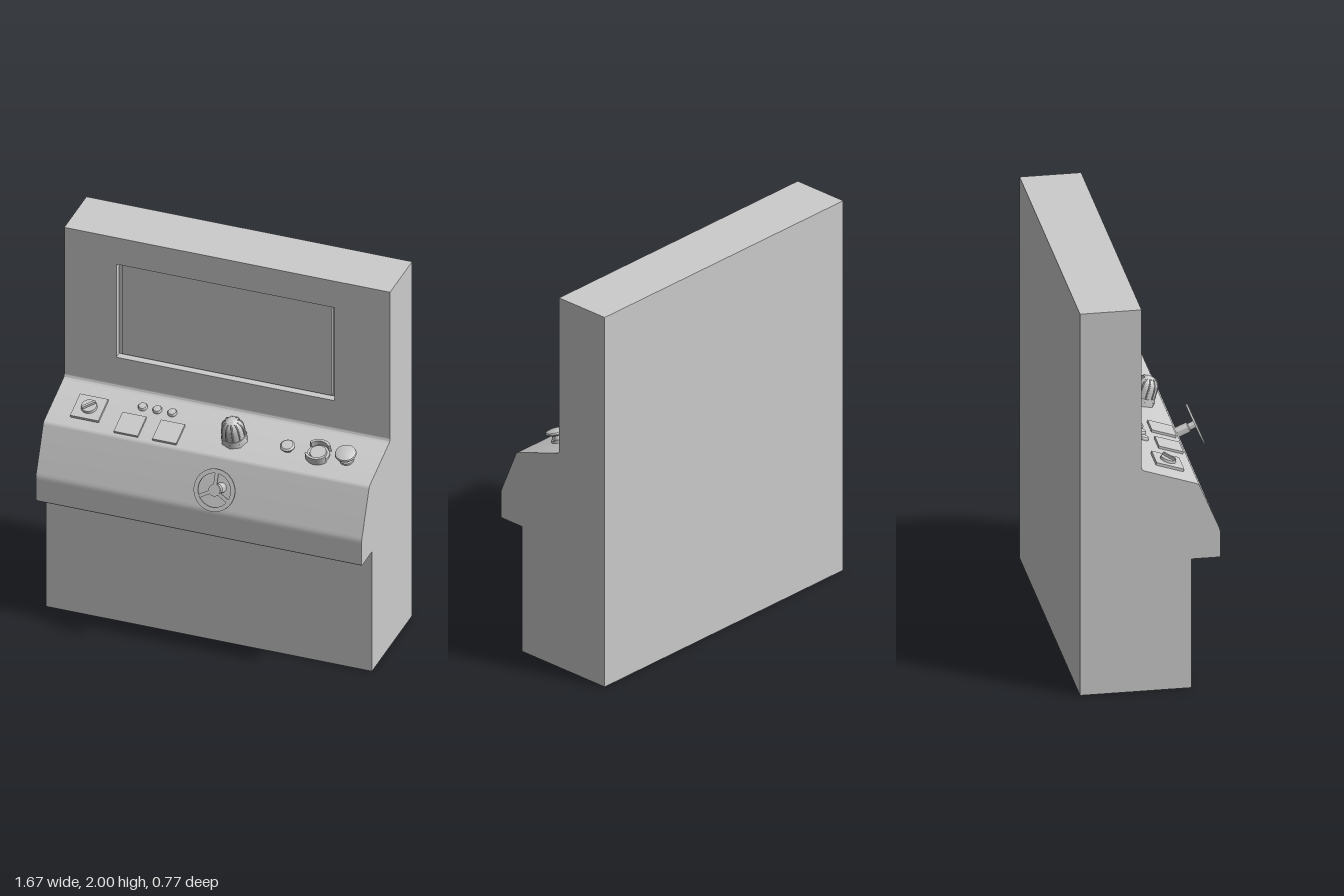
import * as THREE from 'three';
import { toCreasedNormals } from 'three/addons/utils/BufferGeometryUtils.js';

const grey = new THREE.MeshStandardMaterial({ color: 0xcccccc });

function add(parent, name, geometry, x = 0, y = 0, z = 0) {
  const mesh = new THREE.Mesh(geometry, grey);
  mesh.name = name;
  mesh.position.set(x, y, z);
  parent.add(mesh);
  return mesh;
}

function group(parent, name, x = 0, y = 0, z = 0) {
  const g = new THREE.Group();
  g.name = name;
  g.position.set(x, y, z);
  parent.add(g);
  return g;
}

function rectangle(Type, x0, y0, x1, y1) {
  const p = new Type();
  p.moveTo(x0, y0);
  p.lineTo(x1, y0);
  p.lineTo(x1, y1);
  p.lineTo(x0, y1);
  p.closePath();
  return p;
}

const extrude = (shape, depth) =>
  new THREE.ExtrudeGeometry(shape, { depth, bevelEnabled: false, curveSegments: 24 });

// Turned part from [radius, height] pairs, with crisp edges
const lathe = (points, sides = 32) => toCreasedNormals(
  new THREE.LatheGeometry(points.map(([r, y]) => new THREE.Vector2(r, y)), sides), 0.6);

const HALF = 0.8375, BACK = -0.385, FACE = -0.085, FLOOR = -0.125;

function buildCabinet(root) {
  // Side profile (z, y) drawn once and pulled across the width
  const s = new THREE.Shape();
  s.moveTo(BACK, 0);
  s.lineTo(0.16, 0);
  s.lineTo(0.16, 0.675);
  s.lineTo(0.295, 0.675);
  s.lineTo(0.3, 0.68);
  s.lineTo(0.3, 0.8);
  s.quadraticCurveTo(0.3, 0.817, 0.294, 0.831);
  s.lineTo(0.201, 1.052);
  s.quadraticCurveTo(0.196, 1.064, 0.183, 1.069);
  s.lineTo(-0.068, 1.153);
  s.quadraticCurveTo(FACE, 1.159, FACE, 1.175);
  s.lineTo(FLOOR, 1.175);
  s.lineTo(FLOOR, 2);
  s.lineTo(BACK, 2);
  s.closePath();
  const g = extrude(s, HALF * 2);
  g.rotateY(-Math.PI / 2);
  g.translate(HALF, 0, 0);
  add(root, 'cabinet', toCreasedNormals(g, 0.5));

  // Upper front with the window for the screen
  const front = rectangle(THREE.Shape, -HALF, 1.175, HALF, 2);
  front.holes.push(rectangle(THREE.Path, -0.57, 1.325, 0.552, 1.85));
  add(root, 'screenSurround', extrude(front, FACE - FLOOR), 0, 0, FLOOR);
  add(root, 'screen', new THREE.BoxGeometry(1.08, 0.5, 0.02), -0.009, 1.5875, FLOOR + 0.01);
}

function buildControls(root) {
  // Tilted frame lying on the sloping control panel
  const tilt = Math.atan(1 / 3);
  const panel = group(root, 'controls', 0, 1.11, 0.06);
  panel.rotation.x = tilt;
  const along = z => (z - 0.06) / Math.cos(tilt);

  // Rotary switch on a square plate
  const sw = group(panel, 'rotarySwitch', -0.648, 0, along(0.073));
  add(sw, 'switchPlate', new THREE.BoxGeometry(0.145, 0.016, 0.142), 0, 0.006, 0);
  add(sw, 'switchKnob', new THREE.CylinderGeometry(0.038, 0.04, 0.014, 32), 0, 0.02, 0);
  add(sw, 'switchGrip', new THREE.BoxGeometry(0.074, 0.014, 0.012), 0, 0.033, 0)
    .rotation.y = Math.PI / 4;

  // Square pads and indicator lamps
  for (const x of [-0.42, -0.222])
    add(panel, 'squarePad', new THREE.BoxGeometry(0.123, 0.018, 0.126), x, 0.003, along(0.12));
  for (const x of [-0.4, -0.325, -0.248])
    add(panel, 'indicatorLamp', lathe([[0.023, -0.005], [0.023, 0.009], [0.019, 0.015], [0, 0.018]]),
      x, 0, along(0.003));

  buildBeacon(group(panel, 'beacon', 0.1, 0, along(0.078)));

  // Small push button
  const small = [[0.021, -0.005], [0.021, 0.018], [0.037, 0.023], [0.037, 0.029], [0.029, 0.036], [0, 0.038]];
  add(panel, 'pushButton', lathe(small), 0.375, 0, along(0.077));

  // Button between two curved guards
  const guarded = group(panel, 'guardedButton', 0.53, 0, along(0.073));
  add(guarded, 'guardBase', new THREE.CylinderGeometry(0.056, 0.056, 0.014, 40), 0, 0.004, 0);
  add(guarded, 'buttonCap', new THREE.CylinderGeometry(0.04, 0.042, 0.014, 32), 0, 0.016, 0);
  for (const side of [0, Math.PI]) {
    const arc = new THREE.Shape();
    arc.absarc(0, 0, 0.065, side + 0.6, side + Math.PI - 0.6, false);
    arc.absarc(0, 0, 0.052, side + Math.PI - 0.6, side + 0.6, true);
    const g = extrude(arc, 0.046);
    g.rotateX(-Math.PI / 2);
    add(guarded, 'buttonGuard', toCreasedNormals(g, 0.6), 0, -0.004, 0);
  }

  // Large mushroom stop button
  const stop = [[0.034, -0.005], [0.034, 0.012], [0.026, 0.014], [0.026, 0.034],
    [0.05, 0.042], [0.053, 0.048], [0.05, 0.056], [0.035, 0.062], [0, 0.065]];
  add(panel, 'stopButton', lathe(stop), 0.675, 0, along(0.072));
}

function buildBeacon(beacon) {
  add(beacon, 'beaconNut', new THREE.CylinderGeometry(0.064, 0.068, 0.026, 8).toNonIndexed(), 0, 0.008, 0);
  add(beacon, 'beaconCollar', new THREE.CylinderGeometry(0.06, 0.063, 0.018, 32), 0, 0.028, 0);
  const dome = [[0.057, 0.03], [0.055, 0.075], [0.051, 0.1], [0.042, 0.118], [0.028, 0.13], [0.014, 0.135], [0, 0.137]];
  add(beacon, 'beaconDome', lathe(dome, 40));
  // Raised ribs running up the dome
  const path = new THREE.CatmullRomCurve3(dome.slice(0, 5).map(([r, y]) => new THREE.Vector3(r, y, 0)));
  for (let i = 0; i < 10; i++)
    add(beacon, 'domeRib', new THREE.TubeGeometry(path, 10, 0.004, 6)).rotation.y = i * Math.PI / 5;
}

function buildHandwheel(root) {
  // Local z points out from the sloping front
  const wheel = group(root, 'handwheel', 0.098, 0.929, 0.252);
  wheel.rotation.x = -Math.atan2(0.105, 0.25);
  const shaft = lathe([[0.026, -0.01], [0.026, 0.06], [0.018, 0.064], [0.018, 0.1], [0, 0.1]]);
  shaft.rotateX(Math.PI / 2);
  add(wheel, 'wheelShaft', shaft);

  const rim = new THREE.Shape();
  rim.absarc(0, 0, 0.105, 0, Math.PI * 2, false);
  const hole = new THREE.Path();
  hole.absarc(0, 0, 0.083, 0, Math.PI * 2, true);
  rim.holes.push(hole);
  add(wheel, 'wheelRim', toCreasedNormals(extrude(rim, 0.01), 0.6), 0, 0, 0.094);

  const hub = new THREE.CylinderGeometry(0.03, 0.03, 0.01, 32);
  hub.rotateX(Math.PI / 2);
  add(wheel, 'wheelHub', hub, 0, 0, 0.099);
  for (let i = 0; i < 3; i++) {
    const spoke = new THREE.BoxGeometry(0.018, 0.075, 0.008);
    spoke.translate(0, 0.05, 0);
    add(wheel, 'wheelSpoke', spoke, 0, 0, 0.099).rotation.z = i * Math.PI * 2 / 3;
  }
}

export function createModel() {
  const root = new THREE.Group();
  root.name = 'controlConsole';
  buildCabinet(root);
  buildControls(root);
  buildHandwheel(root);
  return root;
}
